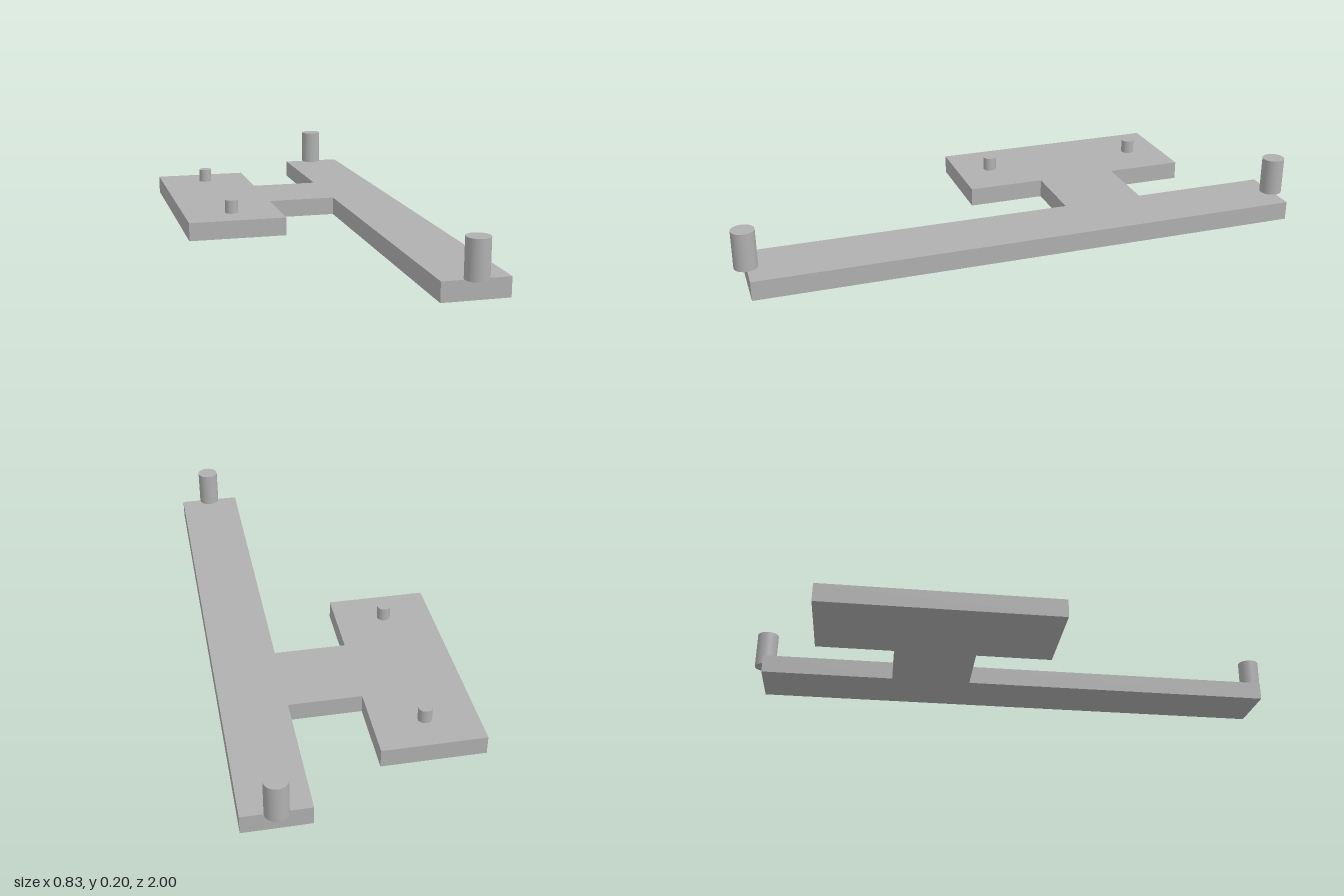
import * as THREE from 'three';

const THICK = 0.066;

export function createModel() {
  const model = new THREE.Group();
  model.name = 'pegPlate';
  const grey = new THREE.MeshStandardMaterial({ color: 0xb0b0b0 });
  grey.name = 'grey';

  // Flat plate: long bar, bridge and short pad in one outline of [x, z]
  const outline = [
    [0.19, 0.961], [0.416, 0.961], [0.416, -0.961], [0.19, -0.961],
    [0.19, -0.479], [-0.063, -0.479], [-0.063, -0.757], [-0.417, -0.757],
    [-0.417, 0.087], [-0.063, 0.087], [-0.063, -0.188], [0.19, -0.188],
  ];
  const shape = new THREE.Shape(outline.map(([x, z]) => new THREE.Vector2(x, -z)));
  const plateGeometry = new THREE.ExtrudeGeometry(shape, { depth: THICK, bevelEnabled: false });
  plateGeometry.rotateX(-Math.PI / 2);
  const plate = new THREE.Mesh(plateGeometry, grey);
  plate.name = 'plate';
  model.add(plate);

  // Round pegs standing on the plate
  const addPeg = (name, x, z, radius, height) => {
    const peg = new THREE.Mesh(new THREE.CylinderGeometry(radius, radius, height, 48), grey);
    peg.name = name;
    peg.position.set(x, THICK + height / 2, z);
    model.add(peg);
  };
  // Large pegs centred on the bar's end edges
  addPeg('largePegFront', 0.303, 0.961, 0.039, 0.131);
  addPeg('largePegBack', 0.303, -0.961, 0.039, 0.131);
  // Small pegs on the pad
  addPeg('smallPegFront', -0.24, -0.041, 0.024, 0.049);
  addPeg('smallPegBack', -0.24, -0.629, 0.024, 0.049);

  return model;
}
